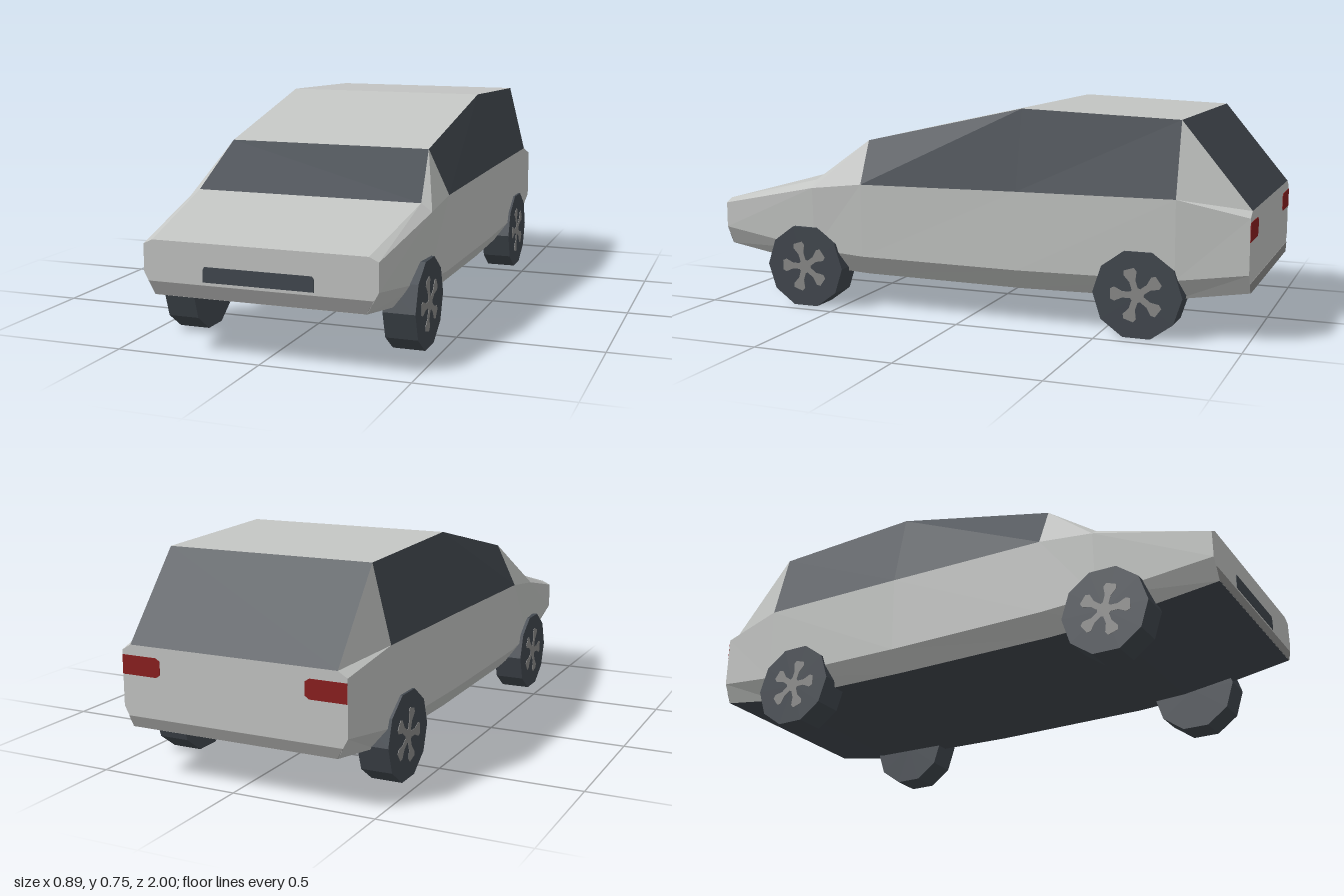
import * as THREE from 'three';

const mat = (name, color) => {
  const m = new THREE.MeshStandardMaterial({ color });
  m.name = name;
  return m;
};

export function createModel() {
  const paint = mat('silver paint', 0xc3c5c3);
  const dark = mat('dark glass and rubber', 0x42484f);
  const grey = mat('grey trim', 0x8a8a89);
  const red = mat('tail light red', 0x8a1f1f);

  const car = new THREE.Group();
  car.name = 'car';
  const add = (name, geometry, material, parent = car) => {
    const mesh = new THREE.Mesh(geometry, material);
    mesh.name = name;
    parent.add(mesh);
    return mesh;
  };

  // Half sections, front to back: z, then [x, y] of floor, sill, belt and top edge
  const sections = [
    [1.0, [0.358, 0.197], [0.397, 0.267], [0.397, 0.36], [0.365, 0.375]],
    [0.6, [0.378, 0.137], [0.43, 0.212], [0.44, 0.443], [0.402, 0.47]],
    [0.4, [0.382, 0.127], [0.435, 0.2], [0.44, 0.466], [0.366, 0.62]],
    [-0.2, [0.385, 0.123], [0.437, 0.197], [0.44, 0.473], [0.378, 0.754]],
    [-0.76, [0.382, 0.132], [0.435, 0.205], [0.44, 0.477], [0.375, 0.733]],
    [-1.0, [0.375, 0.17], [0.41, 0.237], [0.41, 0.425], [0.377, 0.445]],
  ];
  const rings = sections.map(([z, ...half]) => [
    ...half.map(([x, y]) => [x, y, z]),
    ...half.map(([x, y]) => [-x, y, z]).reverse(),
  ]);

  // Faces are sorted by part, one mesh each
  const parts = { body: [], windscreen: [], rearWindow: [], leftWindows: [], rightWindows: [], underside: [] };
  const partOf = (seg, strip) => {
    if (strip === 7) return 'underside';
    if (strip === 3 && seg === 1) return 'windscreen';
    if (strip === 3 && seg === 4) return 'rearWindow';
    if (seg === 2 || seg === 3) {
      if (strip === 2) return 'leftWindows';
      if (strip === 4) return 'rightWindows';
    }
    return 'body';
  };
  for (let s = 0; s < rings.length - 1; s++) {
    for (let i = 0; i < 8; i++) {
      const j = (i + 1) % 8;
      const a = rings[s][i], b = rings[s + 1][i], c = rings[s + 1][j], d = rings[s][j];
      const tris = i > 3 ? [a, b, d, b, c, d] : [a, b, c, a, c, d];
      parts[partOf(s, i)].push(...tris);
    }
  }
  // Nose and tail caps
  const nose = rings[0], tail = rings[rings.length - 1];
  for (let i = 1; i < 7; i++) {
    parts.body.push(nose[0], nose[i], nose[i + 1], tail[0], tail[i + 1], tail[i]);
  }
  for (const [name, points] of Object.entries(parts)) {
    const g = new THREE.BufferGeometry();
    g.setAttribute('position', new THREE.Float32BufferAttribute(points.flat(), 3));
    g.computeVertexNormals();
    add(name, g, name === 'body' ? paint : dark);
  }

  // Thin painted plates on nose and tail
  const plate = (name, points, z, material) => {
    const shape = new THREE.Shape(points.map(([x, y]) => new THREE.Vector2(x, y)));
    const g = new THREE.ExtrudeGeometry(shape, { depth: 0.004, bevelEnabled: false });
    add(name, g, material).position.z = z - 0.002;
  };
  plate('grille', [[-0.18, 0.25], [0.188, 0.25], [0.188, 0.29], [0.182, 0.3], [-0.182, 0.3], [-0.188, 0.29], [-0.188, 0.25]], 1, dark);
  plate('frontBumperStrip', [[-0.358, 0.198], [0.358, 0.198], [0.381, 0.24], [-0.381, 0.24]], 1, grey);
  plate('rearBumperStrip', [[-0.375, 0.171], [0.375, 0.171], [0.393, 0.205], [-0.393, 0.205]], -1, grey);
  for (const s of [1, -1]) {
    const pts = [[0.265, 0.355], [0.28, 0.345], [0.409, 0.345], [0.409, 0.41], [0.28, 0.41], [0.265, 0.4]];
    plate('tailLight', pts.map(([x, y]) => [s * x, y]), -1, red);
  }

  // Ten-sided wheels with five flared spokes
  const tyreGeo = new THREE.CylinderGeometry(0.155, 0.155, 0.11, 10).toNonIndexed();
  tyreGeo.rotateZ(Math.PI / 2);
  tyreGeo.computeVertexNormals();
  const spoke = new THREE.Shape([
    [0.012, -0.011], [0.05, -0.011], [0.078, -0.024], [0.092, -0.018],
    [0.092, 0.018], [0.078, 0.024], [0.05, 0.011], [0.012, 0.011],
  ].map(([x, y]) => new THREE.Vector2(x, y)));
  const spokeGeo = new THREE.ExtrudeGeometry(spoke, { depth: 0.003, bevelEnabled: false });
  const hubGeo = new THREE.CylinderGeometry(0.026, 0.026, 0.003, 10);
  hubGeo.rotateX(Math.PI / 2);
  for (const side of [1, -1]) {
    for (const z of [0.635, -0.635]) {
      const wheel = new THREE.Group();
      wheel.name = (z > 0 ? 'front' : 'rear') + (side > 0 ? 'Left' : 'Right') + 'Wheel';
      wheel.position.set(side * 0.39, 0.1475, z);
      add('tyre', tyreGeo, dark, wheel);
      const rim = new THREE.Group();
      rim.name = 'rim';
      rim.position.x = side * 0.0535;
      rim.rotation.y = side * Math.PI / 2;
      for (let k = 0; k < 5; k++) {
        const start = side > 0 ? Math.PI : 0;
        add('spoke', spokeGeo, grey, rim).rotation.z = start + k * Math.PI * 0.4;
      }
      add('hub', hubGeo, grey, rim).position.z = 0.0015;
      wheel.add(rim);
      car.add(wheel);
    }
  }
  return car;
}
